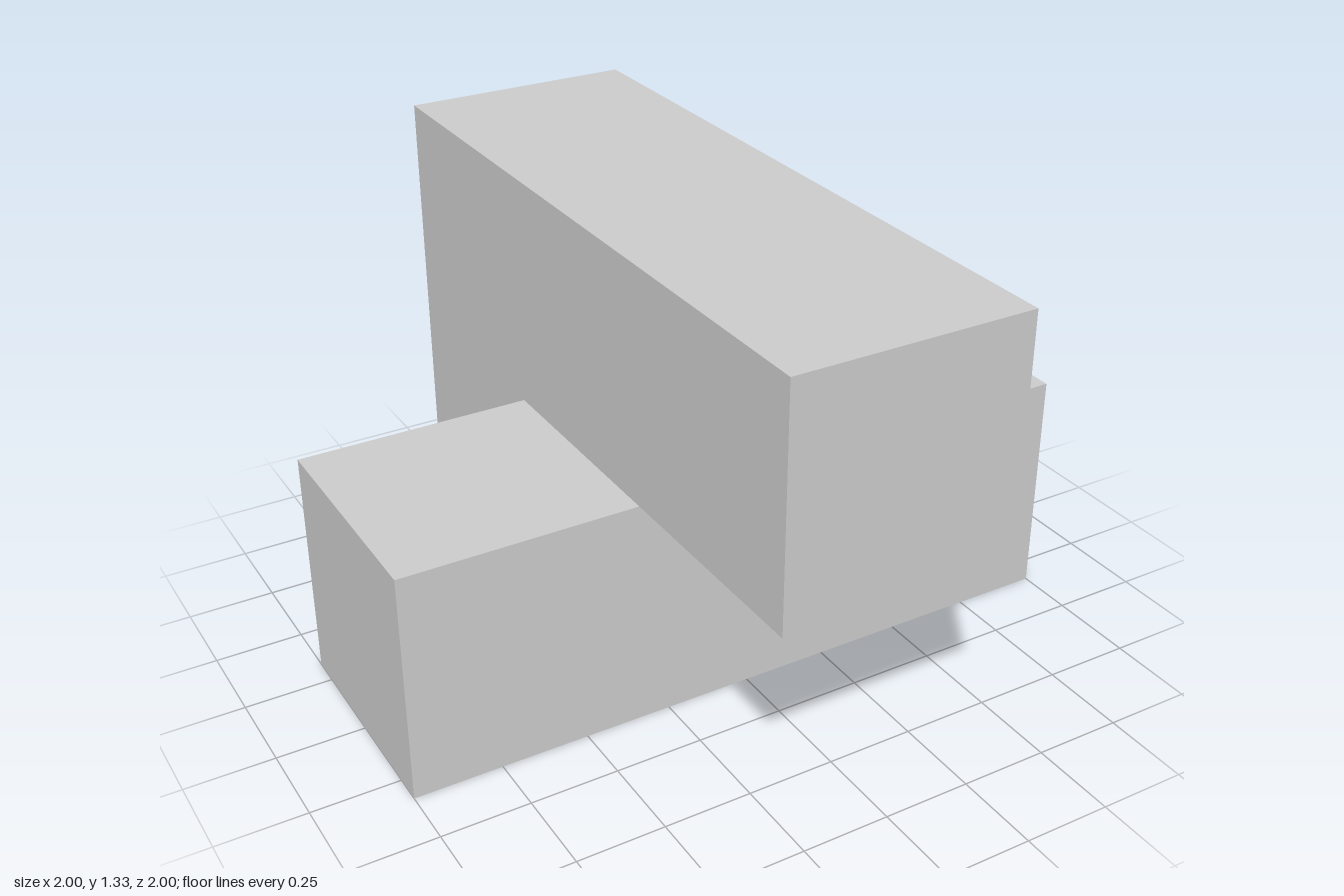
import * as THREE from 'three';

// The model is made of cubic cells, three along its longest side
const U = 2 / 3;

export function createModel() {
  const group = new THREE.Group();
  const material = new THREE.MeshStandardMaterial({ color: 0xcccccc, flatShading: true });

  const add = (name, geometry, x, y, z) => {
    const mesh = new THREE.Mesh(geometry, material);
    mesh.name = name;
    mesh.position.set(x, y, z);
    group.add(mesh);
  };

  // Central body: side profile (z, y) with the top beam overhanging the front
  const profile = new THREE.Shape([
    [-1.5, 0], [0.5, 0], [0.5, 1], [1.5, 1], [1.5, 2], [-1.5, 2],
  ].map(([z, y]) => new THREE.Vector2(z * U, y * U)));
  const body = new THREE.ExtrudeGeometry(profile, { depth: U, bevelEnabled: false });
  body.rotateY(-Math.PI / 2);
  add('centralBody', body, U / 2, 0, 0);

  // Cubic arms on both sides
  for (const [name, side] of [['leftArm', 1], ['rightArm', -1]]) {
    add(name, new THREE.BoxGeometry(U, U, U), side * U, U / 2, 0);
  }

  return group;
}
